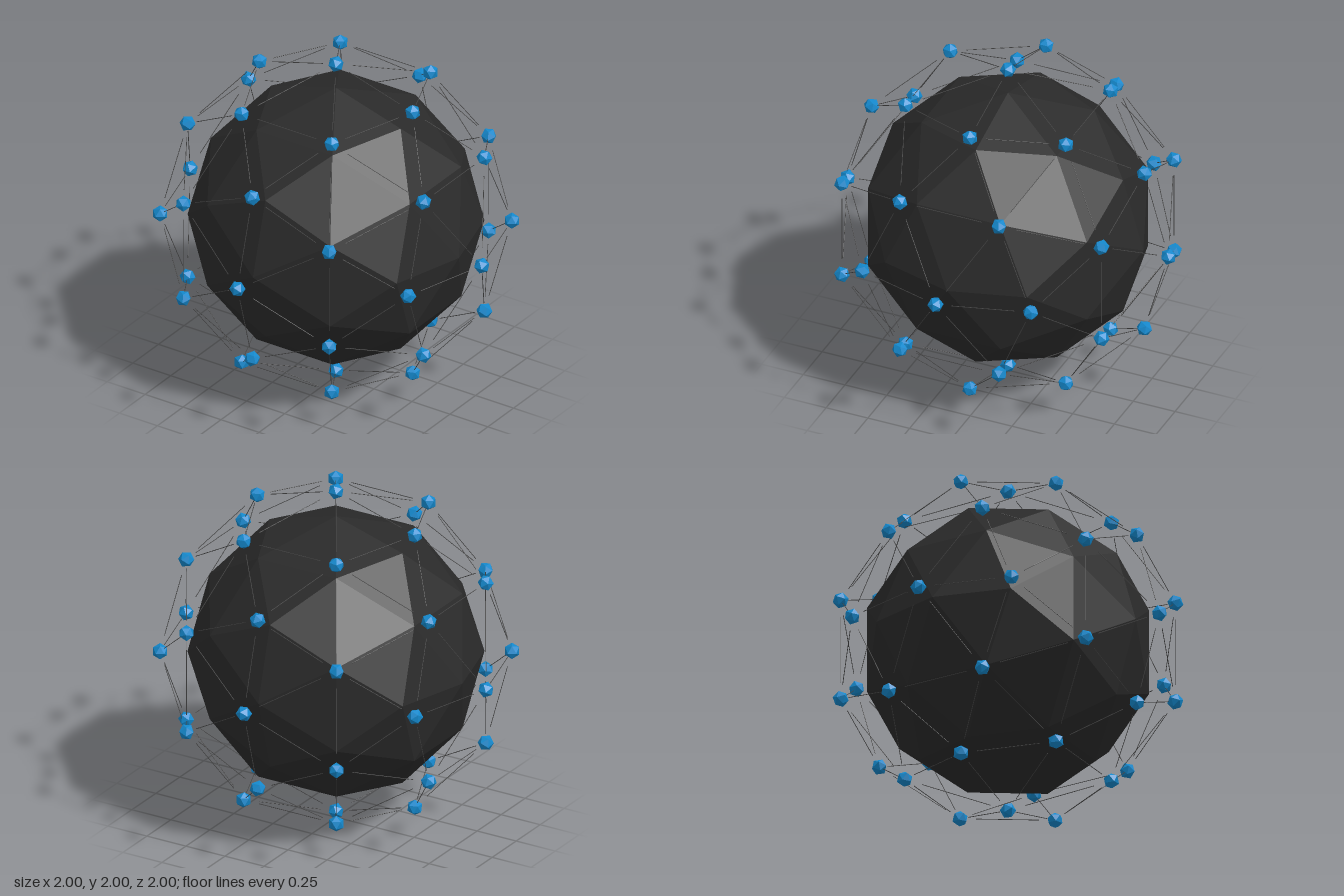
import * as THREE from 'three';

const CORE_RADIUS = 0.81;
const CAGE_RADIUS = 0.96;
const NODE_RADIUS = 0.045;
const ROD_RADIUS = 0.002;
const ROD_FRACTION = 0.66; // rods stop short of the nodes

// Unique corners and edges of a once-subdivided icosahedron
function cageLayout(radius) {
  const pos = new THREE.IcosahedronGeometry(radius, 1).getAttribute('position');
  const nodes = [];
  const indexOf = (i) => {
    const p = new THREE.Vector3().fromBufferAttribute(pos, i);
    const found = nodes.findIndex((q) => q.distanceTo(p) < 1e-3);
    return found >= 0 ? found : nodes.push(p) - 1;
  };
  const edges = new Map();
  for (let i = 0; i < pos.count; i += 3) {
    const tri = [indexOf(i), indexOf(i + 1), indexOf(i + 2)];
    tri.forEach((a, k) => {
      const b = tri[(k + 1) % 3];
      edges.set(`${Math.min(a, b)}-${Math.max(a, b)}`, [nodes[a], nodes[b]]);
    });
  }
  return { nodes, edges: [...edges.values()] };
}

export function createModel() {
  const model = new THREE.Group();
  model.name = 'geodesicSphere';
  const paint = (color) => new THREE.MeshStandardMaterial({ color, flatShading: true });
  const dark = paint(0x2a2a2a);
  const blue = paint(0x1488cc);
  const grey = paint(0x444444);

  const ball = new THREE.Group();
  ball.name = 'ball';
  ball.position.y = 1;
  model.add(ball);

  // Faceted core
  const core = new THREE.Mesh(new THREE.IcosahedronGeometry(CORE_RADIUS, 1), dark);
  core.name = 'core';
  ball.add(core);

  const { nodes, edges } = cageLayout(CAGE_RADIUS);

  // Small faceted nodes, each turned outward
  const nodeGroup = new THREE.Group();
  nodeGroup.name = 'nodes';
  const nodeGeometry = new THREE.IcosahedronGeometry(NODE_RADIUS, 0);
  for (const p of nodes) {
    const node = new THREE.Mesh(nodeGeometry, blue);
    node.name = 'node';
    node.position.copy(p);
    node.lookAt(p.clone().multiplyScalar(2));
    nodeGroup.add(node);
  }
  ball.add(nodeGroup);

  // Thin rods floating between neighbouring nodes
  const rodGroup = new THREE.Group();
  rodGroup.name = 'rods';
  const rodGeometry = new THREE.CylinderGeometry(ROD_RADIUS, ROD_RADIUS, 1, 6);
  const up = new THREE.Vector3(0, 1, 0);
  for (const [a, b] of edges) {
    const span = b.clone().sub(a);
    const rod = new THREE.Mesh(rodGeometry, grey);
    rod.name = 'rod';
    rod.position.copy(a).add(b).multiplyScalar(0.5);
    rod.scale.y = span.length() * ROD_FRACTION;
    rod.quaternion.setFromUnitVectors(up, span.normalize());
    rodGroup.add(rod);
  }
  ball.add(rodGroup);

  return model;
}
